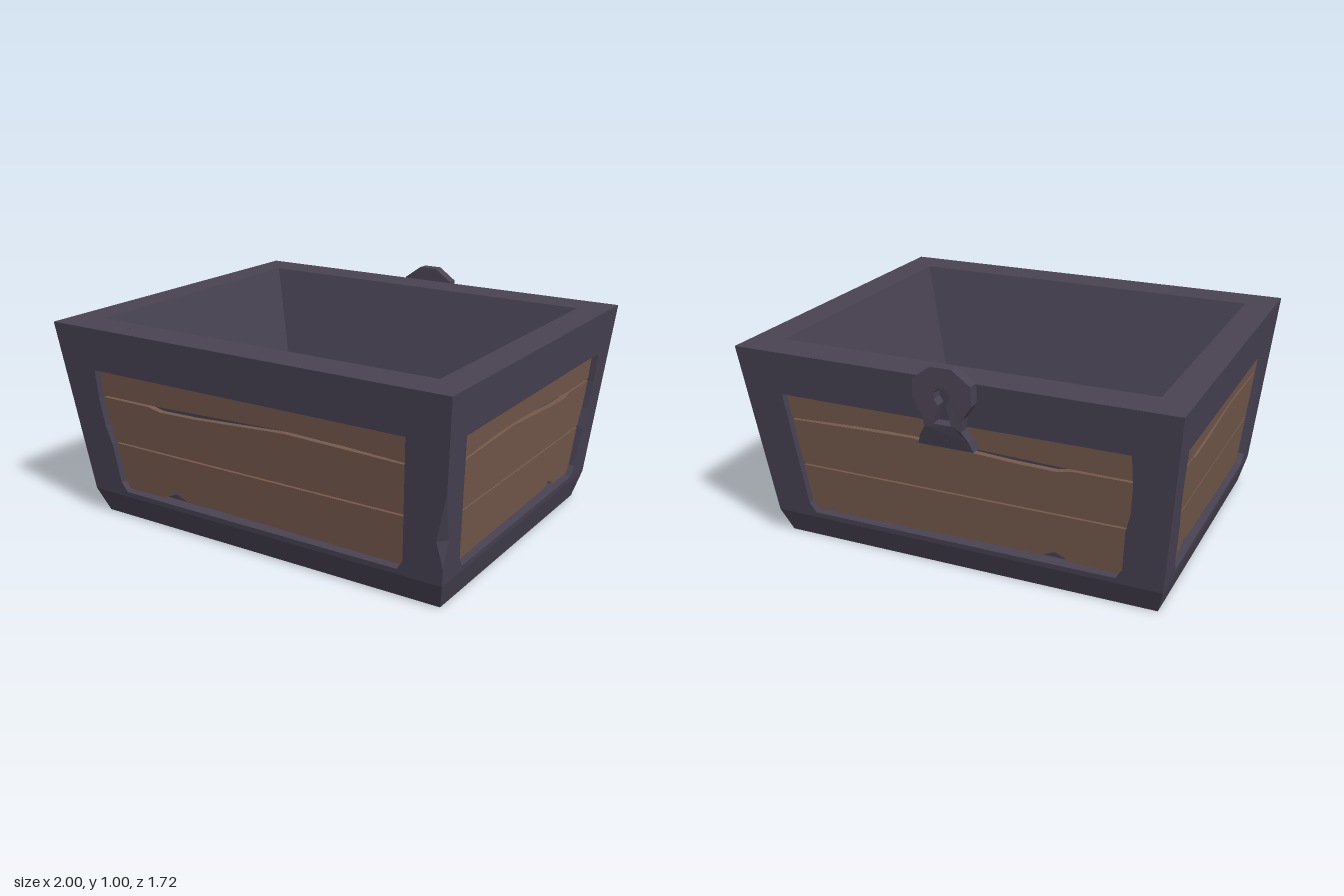
import * as THREE from 'three';

const CZ = 0.025; // centre of the box in z
const frameMat = new THREE.MeshStandardMaterial({ color: 0x484252, flatShading: true, side: THREE.DoubleSide });
const woodMat = new THREE.MeshStandardMaterial({ color: 0x74594c, flatShading: true });

// half sizes of the outer body at three heights
const LEVELS = [[0, 0.89, 0.675], [0.12, 0.922, 0.725], [0.94, 1, 0.835]];
function half(y, axis) {
  const i = y < 0.12 ? 0 : 1;
  const [a, b] = [LEVELS[i], LEVELS[i + 1]];
  return THREE.MathUtils.lerp(a[axis], b[axis], (y - a[0]) / (b[0] - a[0]));
}

function mesh(name, geometry, material) {
  const m = new THREE.Mesh(geometry, material);
  m.name = name;
  return m;
}

function fromTriangles(points) {
  const g = new THREE.BufferGeometry().setFromPoints(points);
  g.computeVertexNormals();
  return g;
}

const toShape = (pts) => new THREE.Shape(pts.map(([x, y]) => new THREE.Vector2(x, y)));

// rectangular rings [halfX, y, halfZ] joined in order
function rectLoft(rings) {
  const signs = [[1, 1], [1, -1], [-1, -1], [-1, 1]];
  const at = ([hx, y, hz], i) => new THREE.Vector3(hx * signs[i % 4][0], y, hz * signs[i % 4][1]);
  const pts = [];
  for (let r = 0; r < rings.length - 1; r++) {
    for (let i = 0; i < 4; i++) {
      const a = at(rings[r], i), b = at(rings[r], i + 1);
      const c = at(rings[r + 1], i + 1), d = at(rings[r + 1], i);
      pts.push(a, b, c, a, c, d);
    }
  }
  return fromTriangles(pts);
}

// lean flat geometry (z = depth) onto a sloping side
function lean(geometry, outAxis, depth = 0) {
  const g = geometry.index ? geometry.toNonIndexed() : geometry;
  const p = g.attributes.position;
  for (let i = 0; i < p.count; i++) p.setZ(i, p.getZ(i) + half(p.getY(i), outAxis) + depth);
  g.computeVertexNormals();
  return g;
}

// plank edges: [fraction of half width, height], from left to right
const PLANKS = [
  {
    low: [[-1, 0.152], [-0.3, 0.157], [0.5, 0.165], [0.57, 0.19], [0.67, 0.155], [1, 0.15]],
    high: [[-1, 0.378], [1, 0.378]],
  },
  {
    low: [[-1, 0.386], [1, 0.386]],
    high: [[-1, 0.606], [-0.25, 0.622], [0.35, 0.592], [0.58, 0.588], [0.66, 0.602], [1, 0.602]],
  },
  {
    low: [[-1, 0.613], [-0.45, 0.634], [-0.2, 0.634], [0.6, 0.613], [1, 0.611]],
    high: [[-1, 0.76], [1, 0.76]],
  },
];

function createSide(name, widthAxis, angle, topHalf, lowHalf, flip, chipSide) {
  const side = new THREE.Group();
  side.name = name;
  const outAxis = 3 - widthAxis;
  const w = (y) => half(y, widthAxis);
  const edge = (y) => THREE.MathUtils.lerp(lowHalf, topHalf, (y - 0.145) / 0.595);

  // frame outline, one corner may be chipped
  const right = [[w(0.12), 0.12], [w(0.94), 0.94]], left = [[-w(0.94), 0.94], [-w(0.12), 0.12]];
  const chip = [0.2, 0.32, 0.54].map((y) => [w(y) - (y === 0.32 ? 0.035 : 0), y]);
  if (chipSide > 0) right.splice(1, 0, ...chip);
  if (chipSide < 0) left.splice(1, 0, ...chip.reverse().map(([x, y]) => [-x, y]));
  const outline = toShape([...right, ...left]);

  // opening with cut lower corners and a worn edge
  const opening = [
    [-edge(0.74), 0.74], [-edge(0.19), 0.19], [-lowHalf + 0.025, 0.145], [lowHalf - 0.025, 0.145],
    [edge(0.19), 0.19], [edge(0.38), 0.38], [edge(0.47) + 0.015, 0.47], [edge(0.6) + 0.015, 0.6],
    [edge(0.74), 0.74],
  ].map(([x, y]) => [x * flip, y]);
  outline.holes.push(toShape(opening));
  side.add(mesh('sideFrame', lean(new THREE.ShapeGeometry(outline), outAxis), frameMat));

  // inner edge of the opening and the plate behind the planks
  const reveal = [];
  opening.forEach(([x, y], i) => {
    const [x2, y2] = opening[(i + 1) % opening.length];
    const a = new THREE.Vector3(x, y, 0), b = new THREE.Vector3(x2, y2, 0);
    const c = new THREE.Vector3(x2, y2, -0.06), d = new THREE.Vector3(x, y, -0.06);
    reveal.push(...(flip > 0 ? [a, c, b, a, d, c] : [a, b, c, a, c, d]));
  });
  side.add(mesh('openingEdge', lean(fromTriangles(reveal), outAxis), frameMat));
  side.add(mesh('backingPlate', lean(new THREE.ShapeGeometry(toShape(opening)), outAxis, -0.06), frameMat));

  // planks
  for (const { low, high } of PLANKS) {
    const pts = [...low, ...[...high].reverse()].map(([s, y]) => [s * flip * (edge(y) + 0.025), y]);
    const g = new THREE.ExtrudeGeometry(toShape(pts), { depth: 0.028, bevelEnabled: false });
    side.add(mesh('plank', lean(g, outAxis, -0.058), woodMat));
  }
  side.rotation.y = angle;
  return side;
}

// latch plate with keyhole, lower end bent inwards
function createLatch() {
  const halfOutline = [[0.125, 0.655], [0.11, 0.7], [0.082, 0.745], [0.09, 0.8], [0.13, 0.86], [0.13, 0.945], [0.045, 1.005]];
  const shape = toShape([...halfOutline, ...halfOutline.map(([x, y]) => [-x, y]).reverse()]);
  const hole = [[0.04, 0.765], [0.017, 0.845], [0.034, 0.87], [0.034, 0.895], [0.014, 0.918]];
  shape.holes.push(toShape([...hole, ...hole.map(([x, y]) => [-x, y]).reverse()]));
  const g = new THREE.ExtrudeGeometry(shape, { depth: 0.05, bevelEnabled: false });
  const p = g.attributes.position;
  for (let i = 0; i < p.count; i++) {
    p.setZ(i, p.getZ(i) - Math.max(0, 0.75 - p.getY(i)) * 0.27);
  }
  g.computeVertexNormals();
  const latch = mesh('latch', g, frameMat);
  latch.rotation.y = Math.PI;
  latch.position.set(-0.025, 0, -0.81 - CZ);
  return latch;
}

export function createModel() {
  const model = new THREE.Group();
  model.name = 'openChest';

  // base with slanted foot, rim with hollow inside
  const [bottom, mid, top] = LEVELS.map(([y, x, z]) => [x, y, z]);
  model.add(mesh('base', rectLoft([[0, 0, 0], bottom, mid]), frameMat));
  model.add(mesh('rimAndInterior', rectLoft([top, [0.86, 0.94, 0.67], [0.645, 0.18, 0.5], [0, 0.18, 0]]), frameMat));

  // four panelled sides
  const q = Math.PI / 2;
  model.add(createSide('frontSide', 1, 0, 0.795, 0.745, -1, 1));
  model.add(createSide('rightSide', 2, q, 0.672, 0.588, 1, -1));
  model.add(createSide('backSide', 1, 2 * q, 0.795, 0.745, 1, 0));
  model.add(createSide('leftSide', 2, -q, 0.672, 0.588, -1, 0));

  // chipped corner
  const corner = (y, dx, dz) => new THREE.Vector3(half(y, 1) - dx, y, half(y, 2) - dz);
  const low = corner(0.2, 0, 0), high = corner(0.54, 0, 0);
  const onFront = corner(0.32, 0.035, 0), onRight = corner(0.32, 0, 0.035);
  model.add(mesh('cornerChip', fromTriangles([low, onRight, onFront, onFront, onRight, high]), frameMat));

  model.add(createLatch());
  for (const part of model.children) part.position.z += CZ;
  return model;
}
